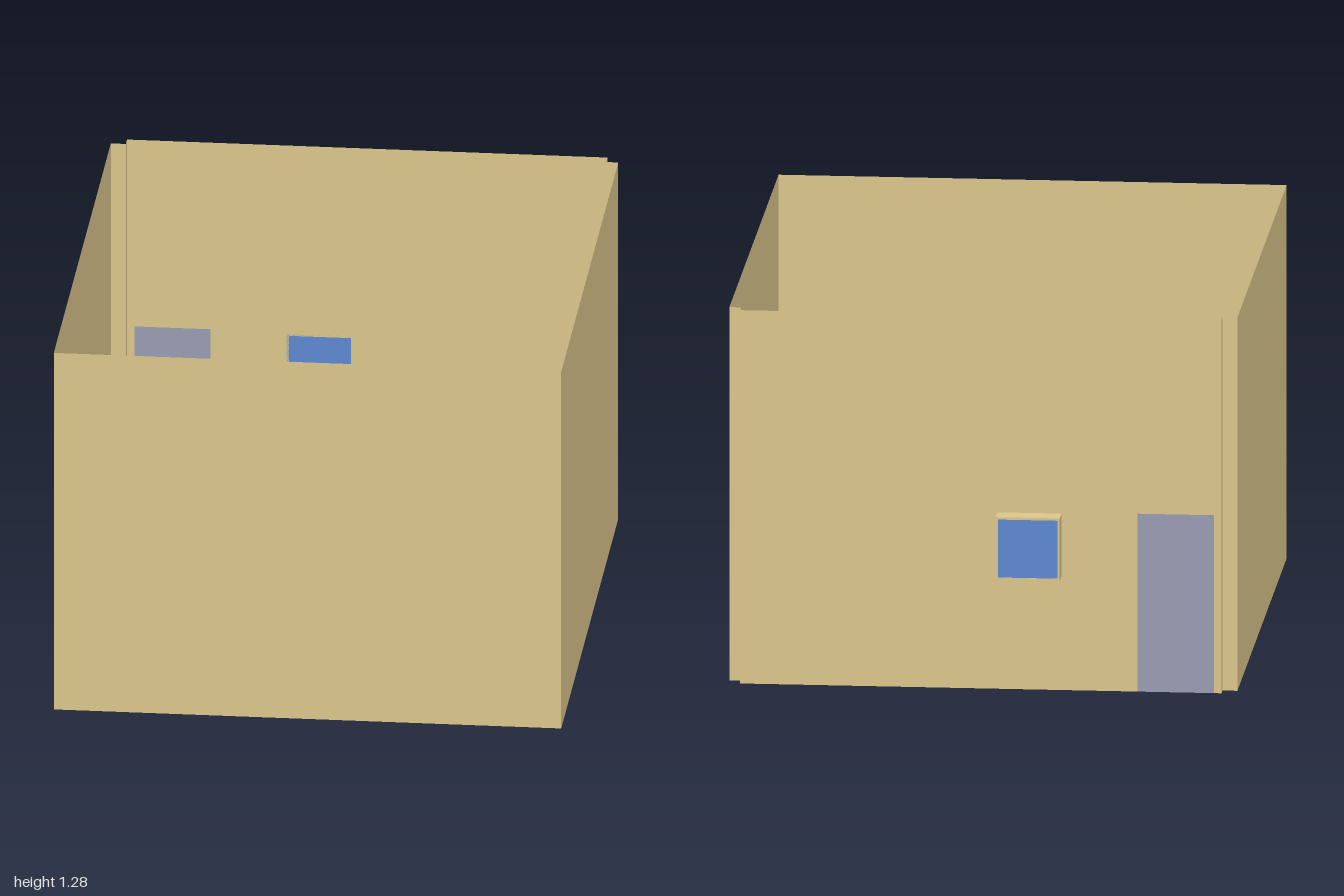
import * as THREE from 'three';

const HEIGHT = 1.28;
const BACK = -0.93; // plane of the back wall
const DOOR = { x0: -0.775, x1: -0.52, y0: 0, y1: 0.61 };
const WINDOW = { x0: -0.265, x1: -0.05, y0: 0.39, y1: 0.605 };

// Ground outline of the room, with the stepped back corners
const OUTLINE = [
  [-0.85, -0.89], [-0.85, 1], [0.85, 1], [0.85, -0.89],
  [0.81, -0.89], [0.81, BACK], [-0.8, BACK], [-0.8, -0.89],
];

const paint = (color) => new THREE.MeshStandardMaterial({ color, side: THREE.DoubleSide });

export function createModel() {
  const model = new THREE.Group();
  const wallPaint = paint(0xdcc78c);
  const slate = paint(0x9a9db3);
  const glass = paint(0x5f88d2);

  const add = (name, geometry, material, x = 0, y = 0, z = 0, parent = model) => {
    const mesh = new THREE.Mesh(geometry, material);
    mesh.name = name;
    mesh.position.set(x, y, z);
    parent.add(mesh);
    return mesh;
  };

  // Upright panel filling a rectangle at depth z
  const panel = (name, r, material, z, parent) => add(name,
    new THREE.PlaneGeometry(r.x1 - r.x0, r.y1 - r.y0).rotateY(Math.PI), material,
    (r.x0 + r.x1) / 2, (r.y0 + r.y1) / 2, z, parent);

  // Floor
  const floorShape = new THREE.Shape(OUTLINE.map(([x, z]) => new THREE.Vector2(x, -z)));
  add('floor', new THREE.ShapeGeometry(floorShape).rotateX(-Math.PI / 2), slate);

  // Thin walls and corner returns along the outline, leaving out the back wall
  const names = ['rightWall', 'frontWall', 'leftWall', 'leftCornerBack', 'leftCornerSide',
    null, 'rightCornerSide', 'rightCornerBack'];
  OUTLINE.forEach(([ax, az], i) => {
    if (!names[i]) return;
    const [bx, bz] = OUTLINE[(i + 1) % OUTLINE.length];
    const wall = add(names[i], new THREE.PlaneGeometry(Math.hypot(bx - ax, bz - az), HEIGHT),
      wallPaint, (ax + bx) / 2, HEIGHT / 2, (az + bz) / 2);
    wall.rotation.y = Math.atan2(az - bz, bx - ax);
  });

  // Back wall with a doorway notch and a window opening
  const backShape = new THREE.Shape([
    [-0.8, 0], [DOOR.x0, 0], [DOOR.x0, DOOR.y1], [DOOR.x1, DOOR.y1], [DOOR.x1, 0],
    [0.81, 0], [0.81, HEIGHT], [-0.8, HEIGHT],
  ].map(([x, y]) => new THREE.Vector2(x, y)));
  const { x0, x1, y0, y1 } = WINDOW;
  backShape.holes.push(new THREE.Path([
    [x0, y0], [x0, y1], [x1, y1], [x1, y0],
  ].map(([x, y]) => new THREE.Vector2(x, y))));
  add('backWall', new THREE.ShapeGeometry(backShape), wallPaint, 0, 0, BACK);

  panel('door', DOOR, slate, BACK);

  // Projecting window box, open on its left side
  const bay = new THREE.Group();
  bay.name = 'windowBox';
  model.add(bay);
  const t = 0.008, depth = 0.07;
  const cx = (x0 + x1) / 2, cy = (y0 + y1) / 2, cz = BACK - depth / 2;
  for (const [name, y] of [['windowTop', y1 - t / 2], ['windowSill', y0 + t / 2]]) {
    add(name, new THREE.BoxGeometry(x1 - x0, t, depth), wallPaint, cx, y, cz, bay);
  }
  const sideHeight = y1 - y0 - 2 * t;
  add('windowSide', new THREE.BoxGeometry(t, sideHeight, depth), wallPaint, x0 + t / 2, cy, cz, bay);
  add('windowPost', new THREE.BoxGeometry(t, sideHeight, t), wallPaint,
    x1 - t / 2, cy, BACK - depth + t / 2, bay);
  panel('innerPane', WINDOW, glass, BACK, bay);
  panel('outerPane', { x0: x0 + t, x1: x1 - t, y0: y0 + t, y1: y1 - t }, glass,
    BACK - depth + 0.002, bay);

  return model;
}
